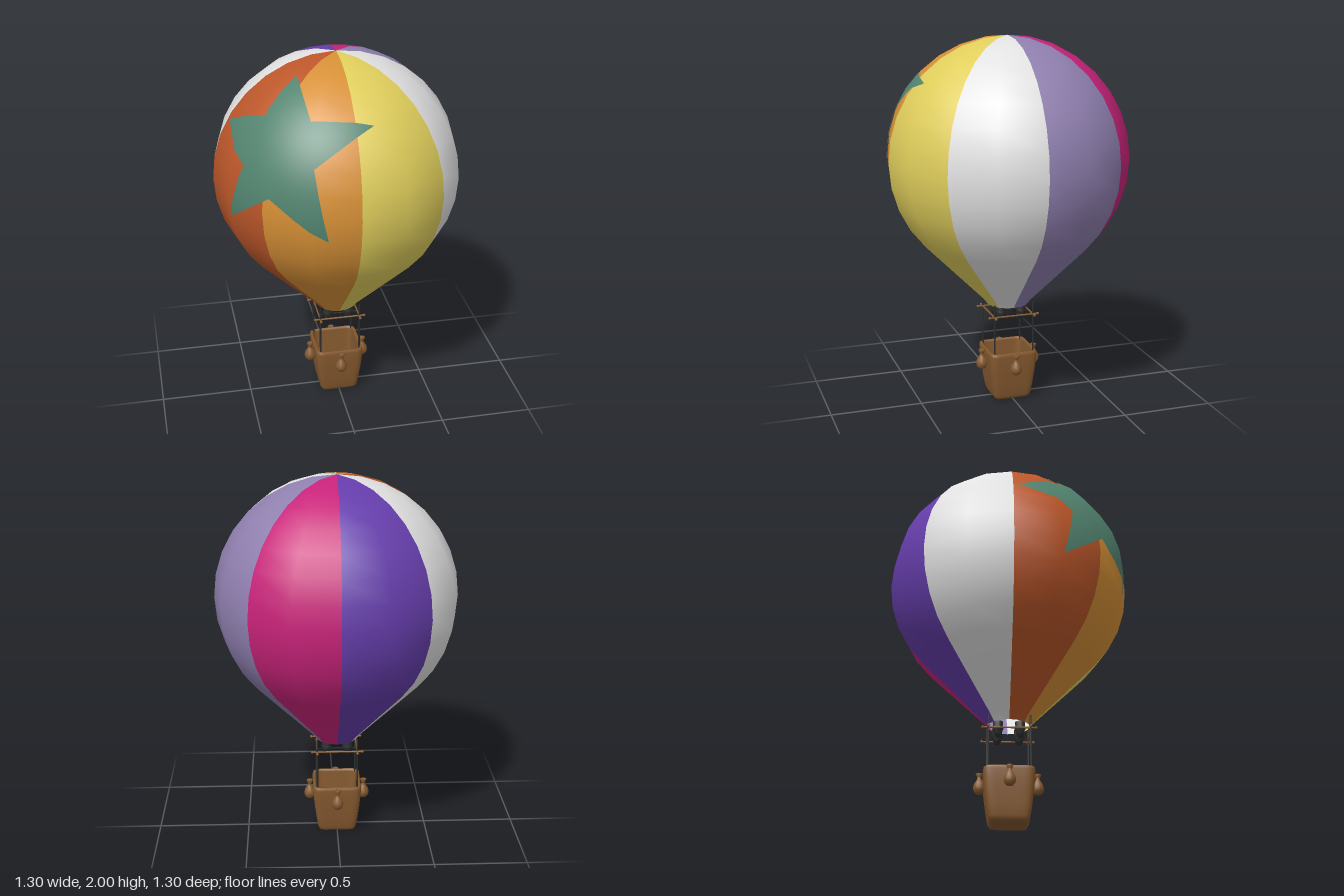
import * as THREE from 'three';

const mat = (name, color, side = THREE.FrontSide) => {
  const m = new THREE.MeshStandardMaterial({ color, side });
  m.name = name;
  return m;
};
const V2 = (x, y) => new THREE.Vector2(x, y);

const R = 0.65, CY = 1.35;      // envelope radius and centre height
const STEP = Math.PI / 16;      // envelope ring spacing
const SIDE = Math.PI / 8;       // envelope side spacing

// Ratio of a polygon's edge distance to its corner distance at an angle
function polygonFactor(angle, step) {
  const a = ((angle % step) + step) % step;
  return Math.cos(step / 2) / Math.cos(a - step / 2);
}

// Push a direction out to the faceted envelope, plus a small lift
function onEnvelope(d, lift) {
  const h = Math.hypot(d.x, d.z) / polygonFactor(Math.atan2(d.x, d.z), SIDE);
  const t = R * polygonFactor(Math.atan2(d.y, h), STEP) / Math.hypot(h, d.y);
  return d.clone().multiplyScalar(t + lift);
}

// Five-pointed patch wrapped round the envelope
function starGeometry() {
  const corners = [
    [-0.223, 0.585, 0.15], [-0.205, 0.445, 0.42], [0.09, 0.425, 0.475], [-0.217, 0.257, 0.556],
    [-0.16, -0.11, 0.62], [-0.43, 0.087, 0.48], [-0.59, -0.095, 0.255], [-0.53, 0.2, 0.315],
    [-0.555, 0.337, 0.03], [-0.405, 0.43, 0.26],
  ].map(c => new THREE.Vector3(...c).setLength(R));
  const centre = new THREE.Vector3(-0.39, 0.309, 0.414).setLength(R);
  const rings = 24, per = 16, cols = corners.length * per;
  const pos = [], nor = [], idx = [];
  for (let k = 0; k <= rings; k++) {
    for (let j = 0; j <= cols; j++) {
      const i = Math.floor(j / per);
      const edge = corners[i % 10].clone().lerp(corners[(i + 1) % 10], (j % per) / per);
      const d = centre.clone().lerp(edge, k / rings).normalize();
      const p = onEnvelope(d, 0.005);
      pos.push(p.x, p.y + CY, p.z);
      nor.push(d.x, d.y, d.z);
      if (k < rings && j < cols) {
        const a = k * (cols + 1) + j, b = a + cols + 1;
        idx.push(a, b + 1, b, a, a + 1, b + 1);
      }
    }
  }
  const g = new THREE.BufferGeometry();
  g.setAttribute('position', new THREE.Float32BufferAttribute(pos, 3));
  g.setAttribute('normal', new THREE.Float32BufferAttribute(nor, 3));
  g.setIndex(idx);
  return g;
}

// Open basket: a lathe squared off into a rounded box
function basketGeometry() {
  const profile = [
    [0, 0], [0.085, 0], [0.098, 0.006], [0.107, 0.025], [0.116, 0.08], [0.125, 0.15], [0.131, 0.21],
    [0.134, 0.262], [0.132, 0.276], [0.126, 0.281], [0.118, 0.278], [0.115, 0.268],
    [0.108, 0.15], [0.098, 0.035], [0.09, 0.025], [0, 0.025],
  ].map(p => V2(...p));
  const g = new THREE.LatheGeometry(profile, 80);
  const p = g.attributes.position, n = 9;
  for (let i = 0; i < p.count; i++) {
    const x = p.getX(i), z = p.getZ(i), r = Math.hypot(x, z);
    if (r < 1e-6) continue;
    const s = Math.pow(Math.abs(x / r) ** n + Math.abs(z / r) ** n, -1 / n);
    p.setX(i, x * s);
    p.setZ(i, z * s);
  }
  g.computeVertexNormals();
  return g;
}

export function createModel() {
  const model = new THREE.Group();
  model.name = 'hotAirBalloon';
  const both = THREE.DoubleSide;
  const yellow = mat('yellow', 0xe0ce5c, both), white = mat('white', 0xe2e2e2, both);
  const lavender = mat('lavender', 0x9080b0, both), magenta = mat('magenta', 0xc8237a, both);
  const purple = mat('purple', 0x663eac, both), rust = mat('rust', 0xbc572a, both);
  const orange = mat('orange', 0xd69036, both), teal = mat('teal', 0x52836f);
  const brown = mat('brown', 0x85592f), dark = mat('dark', 0x2c2e2e);

  const add = (name, geo, material, x = 0, y = 0, z = 0, parent = model) => {
    const m = new THREE.Mesh(geo, material);
    m.name = name;
    m.position.set(x, y, z);
    parent.add(m);
    return m;
  };

  // Envelope: eight gores, two sides each
  const envelope = new THREE.Group();
  envelope.name = 'envelope';
  model.add(envelope);
  const profile = [V2(0.112, 0.535), V2(0.14, 0.57), V2(0.3, 0.73)];
  for (let i = -4; i <= 8; i++) {
    profile.push(V2(i === 8 ? 0 : R * Math.cos(i * STEP), CY + R * Math.sin(i * STEP)));
  }
  [yellow, white, lavender, magenta, purple, white, rust, orange].forEach((m, i) =>
    add('gore' + (i + 1), new THREE.LatheGeometry(profile, 2, i * Math.PI / 4, Math.PI / 4), m, 0, 0, 0, envelope));
  add('starPatch', starGeometry(), teal, 0, 0, 0, envelope);

  add('basket', basketGeometry(), brown);

  // Ropes at the four corners and burners inside them
  const rope = new THREE.CylinderGeometry(0.005, 0.005, 0.3, 8);
  const burner = new THREE.LatheGeometry([
    [0, 0.457], [0.012, 0.457], [0.014, 0.468], [0.022, 0.472], [0.024, 0.495], [0.029, 0.498],
    [0.029, 0.512], [0.025, 0.515], [0.027, 0.538], [0.02, 0.538], [0.016, 0.52], [0, 0.52],
  ].map(p => V2(...p)), 12);
  for (const sx of [-1, 1]) {
    for (const sz of [-1, 1]) {
      add('rope', rope, dark, sx * 0.11, 0.41, sz * 0.11);
      add('burner', burner, dark, sx * 0.058, 0, sz * 0.058);
    }
  }

  // Square frame with knobbed ends, and thin rails carrying the burners
  const bar = new THREE.CylinderGeometry(0.005, 0.005, 0.28, 8);
  const rail = new THREE.CylinderGeometry(0.003, 0.003, 0.22, 6);
  const knob = new THREE.SphereGeometry(0.008, 8, 6);
  for (const s of [-1, 1]) {
    add('frameBar', bar, brown, 0, 0.49, s * 0.11).rotation.z = Math.PI / 2;
    add('frameBar', bar, brown, s * 0.11, 0.49, 0).rotation.x = Math.PI / 2;
    add('burnerRail', rail, dark, 0, 0.49, s * 0.058).rotation.z = Math.PI / 2;
    for (const e of [-1, 1]) {
      add('frameKnob', knob, brown, e * 0.138, 0.49, s * 0.11);
      add('frameKnob', knob, brown, s * 0.11, 0.49, e * 0.138);
    }
  }

  // One tied sandbag hung on each side of the basket
  const bag = new THREE.LatheGeometry([
    [0, 0.163], [0.018, 0.166], [0.029, 0.18], [0.032, 0.197], [0.027, 0.217], [0.015, 0.237],
    [0.01, 0.248], [0.012, 0.256], [0.019, 0.272], [0.012, 0.274], [0, 0.268],
  ].map(p => V2(...p)), 16);
  for (let i = 0; i < 4; i++) {
    const holder = new THREE.Group();
    holder.name = 'sandbagHolder';
    holder.rotation.y = i * Math.PI / 2;
    add('sandbag', bag, brown, 0, 0, 0.151, holder);
    model.add(holder);
  }
  return model;
}
